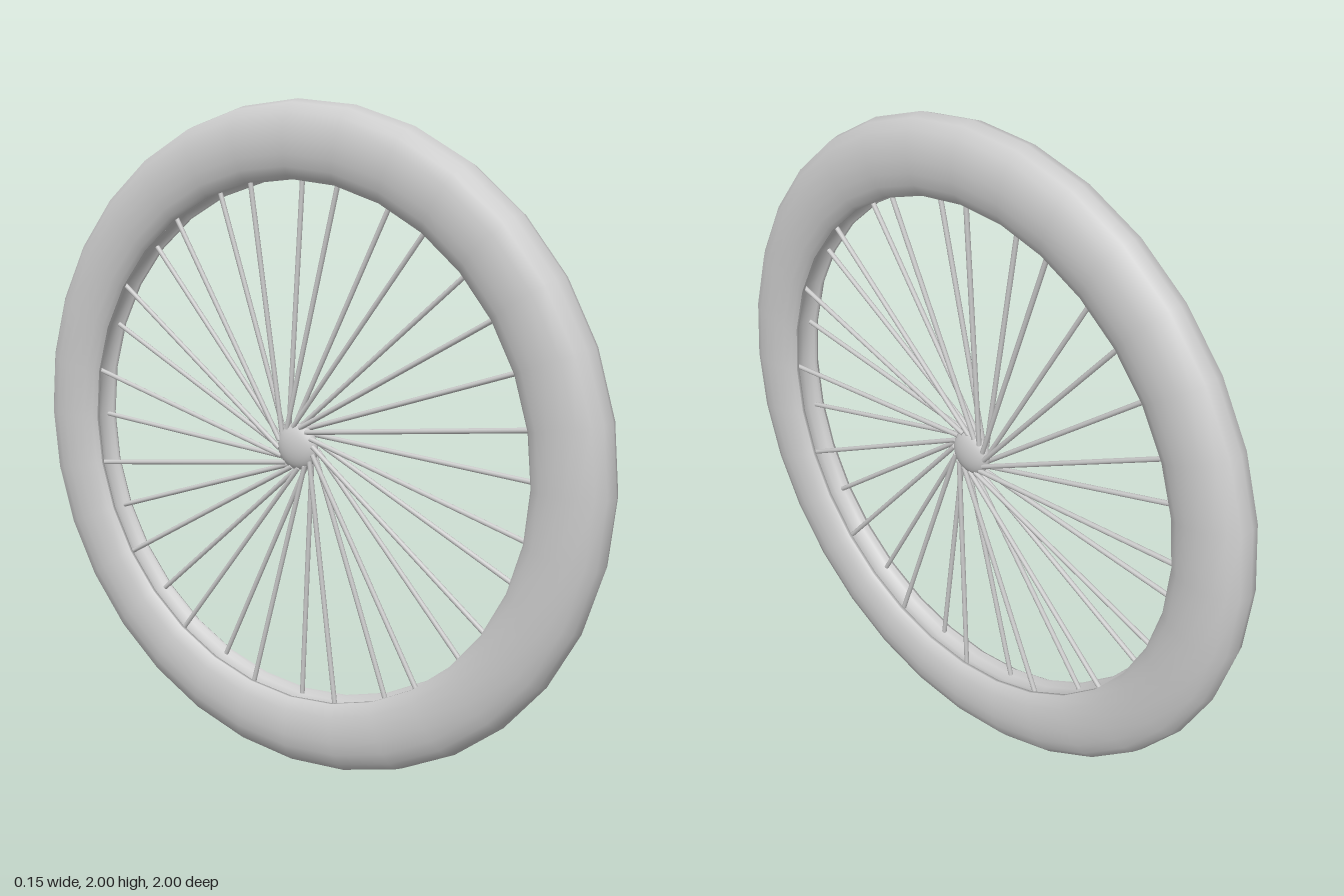
import * as THREE from 'three';

const SEGMENTS = 32;
const SPOKES = 32;

export function createModel() {
  const wheel = new THREE.Group();
  wheel.name = 'wheel';
  const material = new THREE.MeshStandardMaterial({ color: 0xcccccc, side: THREE.DoubleSide });

  // Revolves a [radius, x] profile about the axle
  const revolve = (name, profile) => {
    const points = profile.map(([r, x]) => new THREE.Vector2(r, x));
    const mesh = new THREE.Mesh(new THREE.LatheGeometry(points, SEGMENTS), material);
    mesh.geometry.rotateZ(-Math.PI / 2);
    mesh.name = name;
    wheel.add(mesh);
  };

  // Tyre: rounded section, taller than it is wide
  const half = [[0.78, 0.042], [0.79, 0.055], [0.815, 0.067], [0.85, 0.075], [0.89, 0.077],
    [0.93, 0.071], [0.965, 0.057], [0.99, 0.034]];
  const mirrored = half.map(([r, x]) => [r, -x]);
  revolve('tyre', [...mirrored, [1, 0], ...half.slice().reverse()]);

  // Rim: two lips with a shallow channel between them
  const lip = [[0.78, 0.042], [0.781, 0.032], [0.797, 0.028], [0.8, 0]];
  revolve('rim', [...lip, ...lip.slice(0, 3).reverse().map(([r, x]) => [r, -x])]);

  // Hub: flattened ball on the axle
  const hub = new THREE.Mesh(new THREE.SphereGeometry(0.07, 24, 16), material);
  hub.geometry.rotateZ(Math.PI / 2);
  hub.scale.x = 0.45;
  hub.name = 'hub';
  wheel.add(hub);

  // Spokes: slightly tangential, rim ends alternate from side to side
  const spokes = new THREE.Group();
  spokes.name = 'spokes';
  const up = new THREE.Vector3(0, 1, 0);
  for (let i = 0; i < SPOKES; i++) {
    const side = i % 2 ? -1 : 1;
    const inner = new THREE.Vector3(side * 0.012, 0.045, -0.042);
    const outer = new THREE.Vector3(side * 0.023, 0.79, 0);
    const along = outer.clone().sub(inner);
    const spoke = new THREE.Mesh(
      new THREE.CylinderGeometry(0.0075, 0.0075, along.length(), 8), material);
    spoke.position.copy(inner).add(outer).multiplyScalar(0.5);
    spoke.quaternion.setFromUnitVectors(up, along.normalize());
    spoke.name = 'spoke';
    const pivot = new THREE.Group();
    pivot.rotation.x = (i / SPOKES) * Math.PI * 2;
    pivot.add(spoke);
    spokes.add(pivot);
  }
  wheel.add(spokes);

  // Stand the wheel on the ground
  wheel.position.y = 1;
  const model = new THREE.Group();
  model.name = 'spokedWheel';
  model.add(wheel);
  return model;
}
